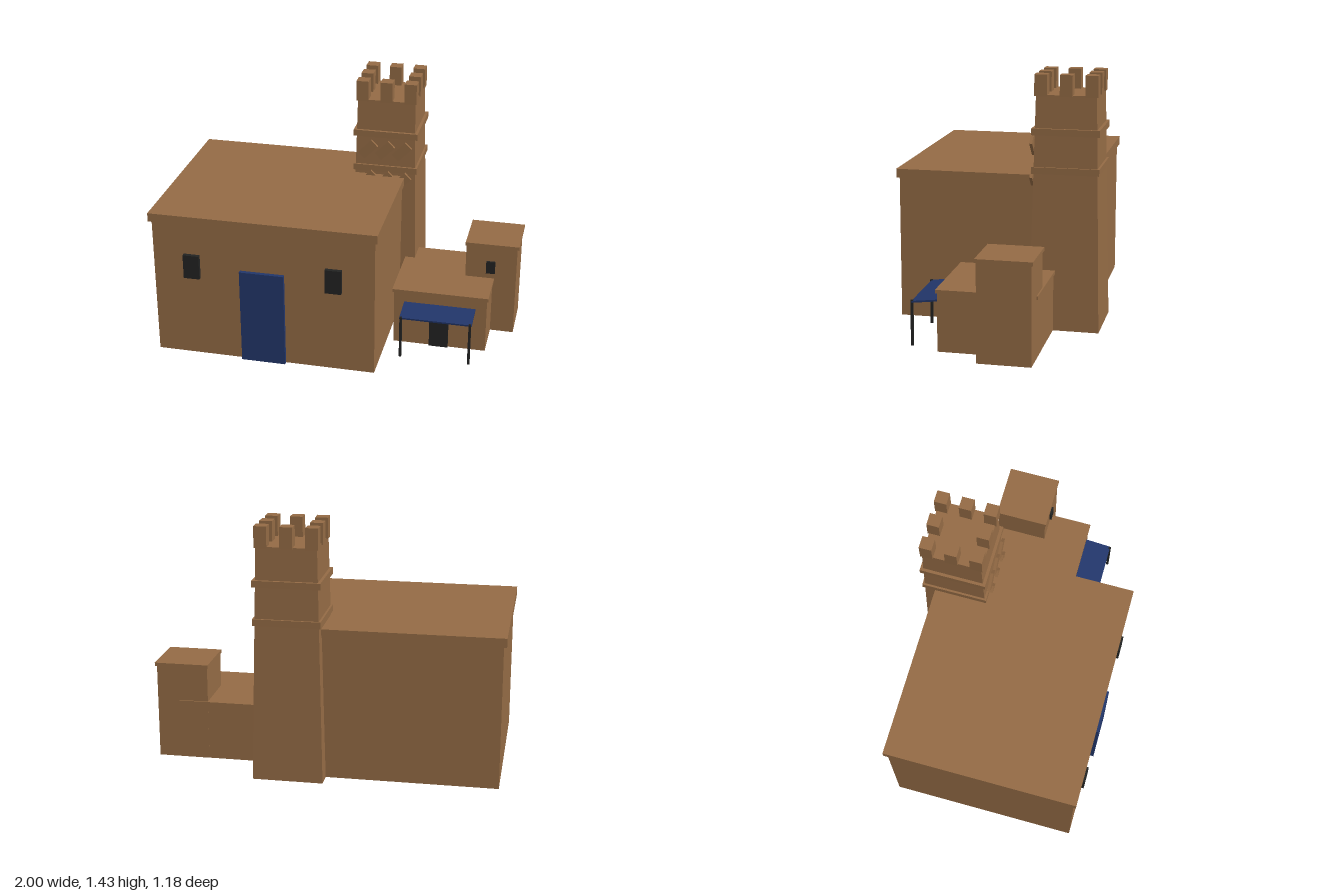
import * as THREE from 'three';

export function createModel() {
  const model = new THREE.Group();
  const clay = new THREE.MeshStandardMaterial({ color: 0x946b45 });
  const blue = new THREE.MeshStandardMaterial({ color: 0x22366a });
  const dark = new THREE.MeshStandardMaterial({ color: 0x222322 });
  clay.name = 'clay';
  blue.name = 'bluePaint';
  dark.name = 'darkWood';

  // Box given by its extents along each axis
  function block(name, mat, [x0, x1], [y0, y1], [z0, z1], parent = model) {
    const mesh = new THREE.Mesh(new THREE.BoxGeometry(x1 - x0, y1 - y0, z1 - z0), mat);
    mesh.position.set((x0 + x1) / 2, (y0 + y1) / 2, (z0 + z1) / 2);
    mesh.name = name;
    parent.add(mesh);
    return mesh;
  }

  // Main house
  block('houseWalls', clay, [-0.983, 0.28], [0, 0.815], [-0.495, 0.572]);
  block('houseRoof', clay, [-1, 0.295], [0.815, 0.865], [-0.51, 0.587]);
  block('houseDoor', blue, [-0.483, -0.23], [0, 0.56], [0.56, 0.595]);
  for (const x of [-0.76, 0.05]) {
    block('houseWindow', dark, [x - 0.046, x + 0.046], [0.488, 0.63], [0.56, 0.595]);
  }

  // Low annex with its corner turret
  block('annexWalls', clay, [0.32, 0.855], [0, 0.325], [-0.333, 0.203]);
  block('annexRoof', clay, [0.31, 0.863], [0.325, 0.345], [-0.342, 0.211]);
  block('annexDoor', dark, [0.53, 0.64], [0, 0.247], [0.19, 0.215]);
  block('turretWalls', clay, [0.695, 0.99], [0, 0.545], [-0.334, -0.042]);
  block('turretRoof', clay, [0.69, 1], [0.545, 0.565], [-0.342, -0.035]);
  block('turretWindow', dark, [0.815, 0.867], [0.38, 0.455], [-0.05, -0.03]);

  // Sloping awning on two posts
  const awning = block('awning', blue, [0.38, 0.792], [0.251, 0.261], [0.207, 0.363]);
  awning.rotation.x = 0.12;
  for (const x of [0.389, 0.782]) {
    block('awningPost', dark, [x - 0.007, x + 0.007], [0, 0.255], [0.355, 0.369]);
  }

  // Tapered tower: a four-sided frustum turned square to the axes
  const tower = new THREE.Group();
  tower.name = 'tower';
  tower.position.set(0.178, 0, -0.392);
  model.add(tower);
  const height = 1.32;
  const shaftGeo = new THREE.CylinderGeometry(0.167 * Math.SQRT2, 0.198 * Math.SQRT2, height, 4)
    .rotateY(Math.PI / 4).toNonIndexed();
  shaftGeo.computeVertexNormals();
  const shaft = new THREE.Mesh(shaftGeo, clay);
  shaft.position.y = height / 2;
  shaft.name = 'towerShaft';
  tower.add(shaft);

  for (const y of [0.886, 1.1]) {
    block('towerBand', clay, [-0.188, 0.188], [y, y + 0.037], [-0.188, 0.188], tower);
  }

  // Eight merlons around the top
  for (const i of [-1, 0, 1]) {
    for (const j of [-1, 0, 1]) {
      if (i === 0 && j === 0) continue;
      const x = i * 0.14, z = j * 0.14;
      block('merlon', clay, [x - 0.035, x + 0.035], [1.313, 1.432], [z - 0.035, z + 0.035], tower);
    }
  }

  // Two rows of slanted tiles on the front of the tower
  for (const y of [0.837, 1.027]) {
    for (const x of [-0.1, 0, 0.1]) {
      const tile = block('slantedTile', clay, [x - 0.055, x + 0.055], [y - 0.027, y + 0.027],
        [0.189, 0.205], tower);
      tile.rotation.z = Math.PI / 4;
    }
  }

  return model;
}
